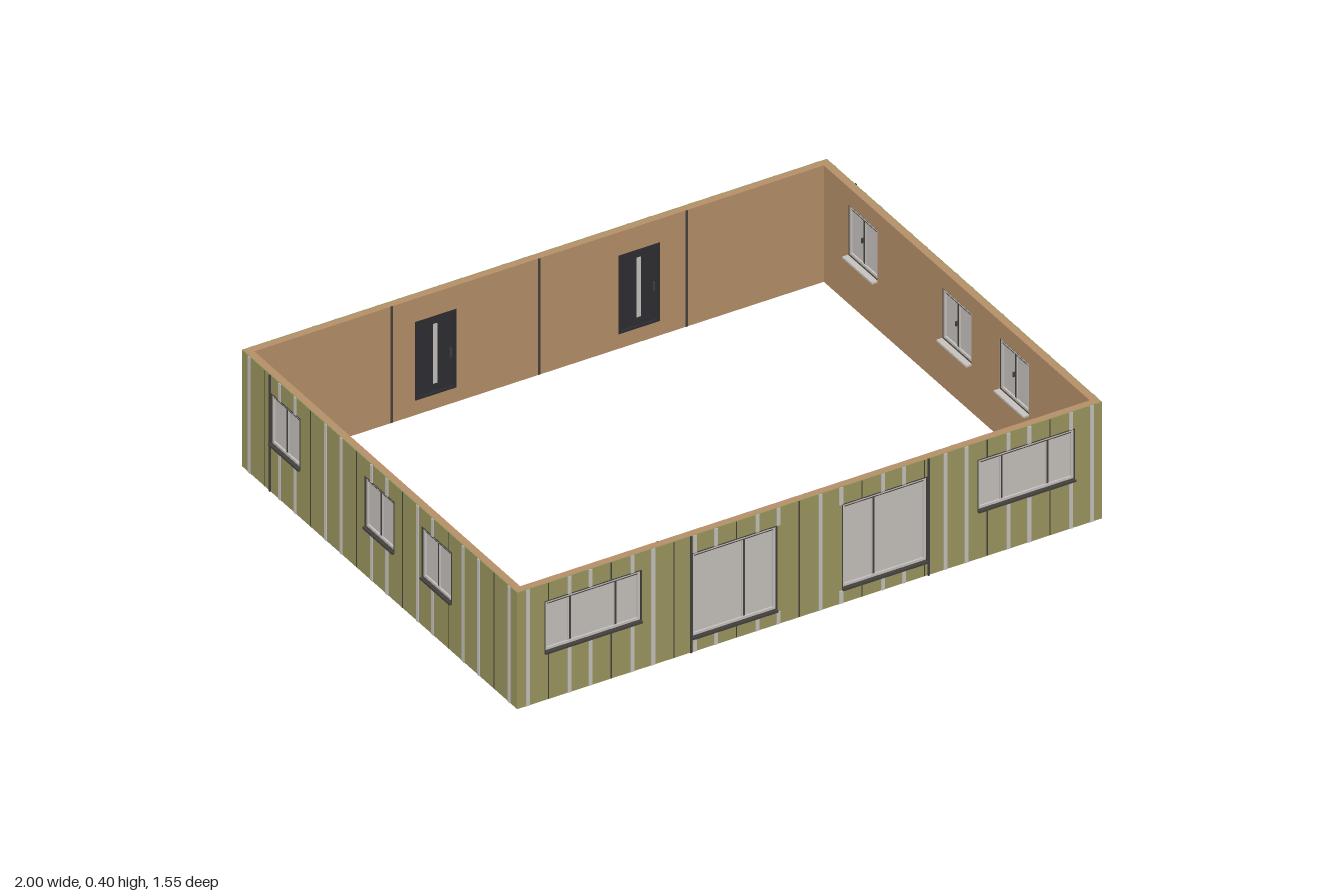
import * as THREE from 'three';

const mat = (name, color) => {
  const m = new THREE.MeshStandardMaterial({ color });
  m.name = name;
  return m;
};

export function createModel() {
  const olive = mat('olive cladding', 0x9f9961);
  const tan = mat('tan lining', 0xb9926a);
  const pale = mat('pale grey', 0xcac6c2);
  const dark = mat('dark trim', 0x46433f);
  const black = mat('black door', 0x2f2f34);

  const X = 0.992, Z = 0.768, H = 0.4;
  const SKIN = 0.004, WALL = 0.026;
  const house = new THREE.Group();
  house.name = 'houseWalls';

  // Box spanning u0..u1 along the wall, v0..v1 in height, d0..d1 in depth (outside is +)
  const slab = (parent, name, material, u0, u1, v0, v1, d0, d1) => {
    const mesh = new THREE.Mesh(new THREE.BoxGeometry(u1 - u0, v1 - v0, d1 - d0), material);
    mesh.position.set((u0 + u1) / 2, (v0 + v1) / 2, (d0 + d1) / 2);
    mesh.name = name;
    parent.add(mesh);
  };

  // Flat wall layer pierced by the openings
  const layer = (parent, name, material, half, openings, d0, d1) => {
    const s = new THREE.Shape();
    s.moveTo(-half, 0).lineTo(half, 0).lineTo(half, H).lineTo(-half, H).closePath();
    for (const o of openings) {
      const p = new THREE.Path();
      p.moveTo(o.u0, o.v0).lineTo(o.u0, o.v1).lineTo(o.u1, o.v1).lineTo(o.u1, o.v0).closePath();
      s.holes.push(p);
    }
    const mesh = new THREE.Mesh(new THREE.ExtrudeGeometry(s, { depth: d1 - d0, bevelEnabled: false }), material);
    mesh.position.z = d0;
    mesh.name = name;
    parent.add(mesh);
  };

  // Frame of four bars just inside a rectangle
  const frame = (parent, name, material, o, t, d0, d1) => {
    slab(parent, name, material, o.u0, o.u0 + t, o.v0, o.v1, d0, d1);
    slab(parent, name, material, o.u1 - t, o.u1, o.v0, o.v1, d0, d1);
    slab(parent, name, material, o.u0 + t, o.u1 - t, o.v0, o.v0 + t, d0, d1);
    slab(parent, name, material, o.u0 + t, o.u1 - t, o.v1 - t, o.v1, d0, d1);
  };

  // Glazed window or sliding door
  const addWindow = (wall, o) => {
    const g = new THREE.Group();
    g.name = o.sill ? 'window' : 'slidingDoor';
    slab(g, 'glass', pale, o.u0, o.u1, o.v0, o.v1, -0.016, -0.01);
    frame(g, 'frameEdge', dark, o, 0.003, -0.024, 0.001);
    const inner = { u0: o.u0 + 0.003, u1: o.u1 - 0.003, v0: o.v0 + 0.003, v1: o.v1 - 0.003 };
    frame(g, 'frame', pale, inner, 0.008, -0.022, -0.004);
    slab(g, 'headTrim', dark, o.u0 + 0.011, o.u1 - 0.011, o.v1 - 0.015, o.v1 - 0.011, -0.021, -0.005);
    for (const m of o.mullions) {
      slab(g, 'mullion', pale, m - 0.006, m + 0.006, o.v0 + 0.011, o.v1 - 0.015, -0.02, -0.006);
      slab(g, 'mullionSeam', dark, m - 0.003, m + 0.003, o.v0 + 0.014, o.v1 - 0.015, -0.021, -0.005);
      const hv = (o.v0 + o.v1) / 2;
      slab(g, 'latch', dark, m + 0.008, m + 0.012, hv - 0.008, hv + 0.008, -0.024, -0.016);
    }
    slab(g, 'outerSill', dark, o.u0, o.u1, o.v0 - 0.005, o.v0 + 0.002, -0.004, 0.008);
    if (o.sill) slab(g, 'innerSill', pale, o.u0, o.u1, o.v0 - 0.005, o.v0 + 0.001, -0.045, -0.0255);
    wall.add(g);
  };

  // Solid door with a narrow glazed slit
  const addDoor = (wall, o) => {
    const g = new THREE.Group();
    g.name = 'entranceDoor';
    const c = (o.u0 + o.u1) / 2;
    slab(g, 'doorLeaf', black, o.u0, o.u1, o.v0, o.v1, -0.022, 0.001);
    frame(g, 'doorFrame', black, o, 0.008, -0.027, 0.006);
    slab(g, 'doorSlit', pale, c - 0.007, c + 0.007, o.v0 + 0.035, o.v1 - 0.03, -0.023, 0.002);
    slab(g, 'doorHandle', dark, o.u0 + 0.016, o.u0 + 0.021, 0.16, 0.19, -0.026, 0.005);
    wall.add(g);
  };

  const makeWall = (name, half, coreHalf, skinHalf, boards, openings, outerSeams, innerSeams) => {
    const w = new THREE.Group();
    w.name = name;
    layer(w, 'lining', tan, coreHalf, openings, -WALL, -SKIN);
    layer(w, 'cladding', olive, skinHalf, openings, -SKIN, 0);
    // Battens, interrupted by the openings
    const pitch = 2 * half / boards;
    for (let i = 0; i < boards; i++) {
      const u = -half + pitch * (i + 0.5);
      const groove = i % 3 === 1;
      const t = groove ? 0.0015 : 0.006;
      const o = openings.find(q => u + t > q.u0 && u - t < q.u1);
      const spans = o ? [[0.001, o.v0 - 0.006], [o.v1, H - 0.001]] : [[0.001, H - 0.001]];
      for (const [a, b] of spans) {
        slab(w, groove ? 'groove' : 'batten', groove ? dark : pale, u - t, u + t, a, b, -0.001, groove ? 0.001 : 0.003);
      }
    }
    // Joints between wall panels
    for (const u of outerSeams) slab(w, 'outerJoint', dark, u - 0.003, u + 0.003, 0, H, -0.001, 0.004);
    for (const u of innerSeams) slab(w, 'innerJoint', dark, u - 0.004, u + 0.004, 0, H, -WALL - 0.001, -WALL + 0.002);
    for (const o of openings) (o.door ? addDoor : addWindow)(w, o);
    house.add(w);
    return w;
  };

  const win = (u0, u1, mullions) => ({ u0, u1, v0: 0.165, v1: 0.34, mullions, sill: true });
  const slider = (u0, u1, m) => ({ u0, u1, v0: 0.05, v1: 0.34, mullions: [m] });
  const door = (u0, u1) => ({ u0, u1, v0: 0.05, v1: 0.32, door: true });

  // Front and back walls
  const front = makeWall('frontWall', X, X - SKIN, X, 28, [
    win(-0.9, -0.57, [-0.81, -0.655]), slider(-0.4, -0.11, -0.22),
    slider(0.11, 0.4, 0.22), win(0.57, 0.9, [0.655, 0.81]),
  ], [-0.403, 0.403], [-0.5, 0, 0.5]);
  front.position.z = Z;

  const back = makeWall('backWall', X, X - SKIN, X, 28,
    [door(-0.41, -0.27), door(0.28, 0.42)], [], [-0.5, 0, 0.5]);
  back.position.z = -Z;
  back.rotation.y = Math.PI;

  // Side walls, mirrored about the middle
  for (const s of [1, -1]) {
    const openings = [-0.32, 0, 0.525].map(c => {
      const u = c * s;
      return win(u - 0.083, u + 0.083, [u]);
    });
    const side = makeWall(s > 0 ? 'leftWall' : 'rightWall', Z, Z - WALL, Z - SKIN, 18, openings, [0.61 * s], []);
    side.position.x = s * X;
    side.rotation.y = s * Math.PI / 2;
  }
  return house;
}
